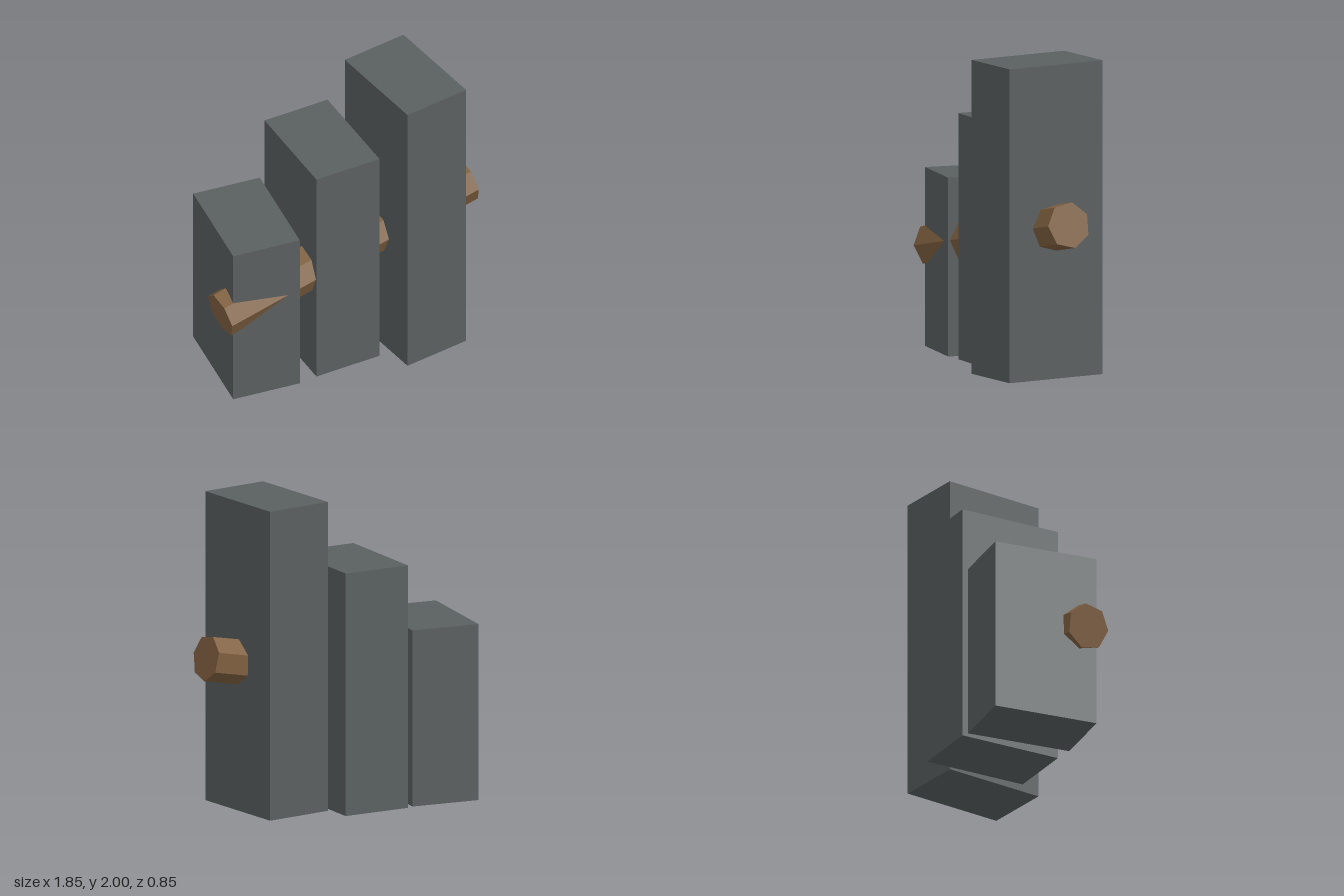
import * as THREE from 'three';

export function createModel() {
  const model = new THREE.Group();

  const stone = new THREE.MeshStandardMaterial({ color: 0x5a5f60 });
  stone.name = 'dark grey stone';
  const wood = new THREE.MeshStandardMaterial({ color: 0x806040 });
  wood.name = 'brown wood';
  wood.flatShading = true;

  // Three upright slabs rising to the model's left, each turned a little further
  const slabs = [
    { name: 'shortSlab', x: -0.61, z: -0.005, height: 1.14, turn: 0 },
    { name: 'middleSlab', x: -0.08, z: -0.055, height: 1.57, turn: 0.12 },
    { name: 'tallSlab', x: 0.45, z: 0.033, height: 2, turn: 0.235 },
  ];
  for (const { name, x, z, height, turn } of slabs) {
    const slab = new THREE.Mesh(new THREE.BoxGeometry(0.45, height, 0.69), stone);
    slab.name = name;
    slab.position.set(x, height / 2, z);
    slab.rotation.y = turn;
    model.add(slab);
  }

  // Seven-sided beam running through all the slabs, one edge facing the front
  const start = new THREE.Vector3(-0.89, 0.635, 0.26);
  const end = new THREE.Vector3(0.89, 1.01, -0.03);
  const along = end.clone().sub(start);
  const length = along.length();
  along.normalize();
  const forward = new THREE.Vector3(0, 0, 1).addScaledVector(along, -along.z).normalize();
  const side = along.clone().cross(forward);

  const beam = new THREE.Mesh(new THREE.CylinderGeometry(0.148, 0.148, length, 7), wood);
  beam.name = 'beam';
  beam.quaternion.setFromRotationMatrix(new THREE.Matrix4().makeBasis(side, along, forward));
  beam.position.copy(start).add(end).multiplyScalar(0.5);
  model.add(beam);

  return model;
}
